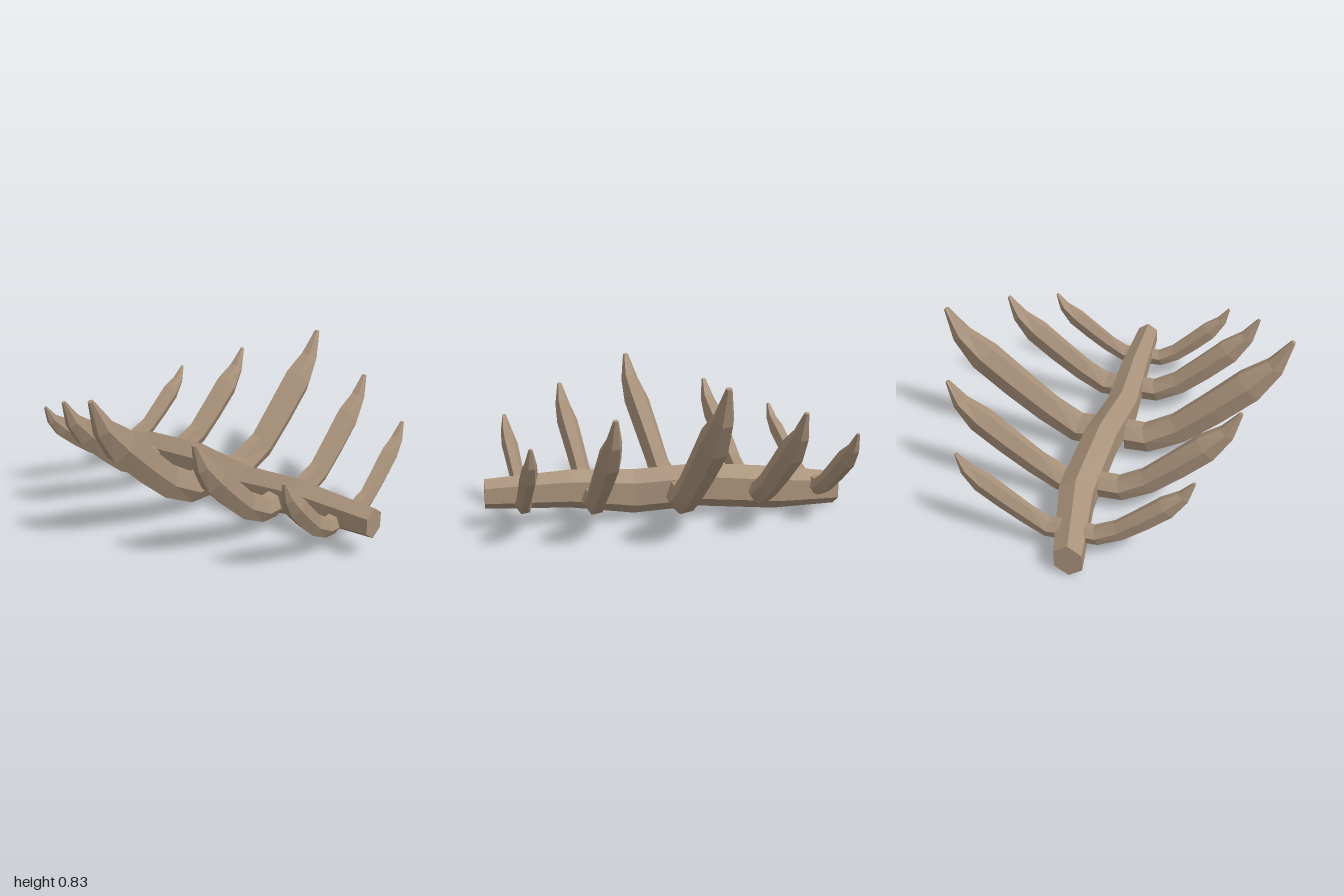
import * as THREE from 'three';

const bone = new THREE.MeshStandardMaterial({ color: 0xa8917a, flatShading: true });
const V = (x, y, z) => new THREE.Vector3(x, y, z);

// Six-sided loft: each section has centre c, tangent t, side axis v and radii ru (across), rv (along v)
function hexLoft(sections, phase) {
  const rings = sections.map(({ c, t, v, ru, rv }) => {
    const u = v.clone().cross(t).normalize();
    return Array.from({ length: 6 }, (_, j) => {
      const a = phase + (j * Math.PI) / 3;
      return c.clone().addScaledVector(u, ru * Math.cos(a)).addScaledVector(v, rv * Math.sin(a));
    });
  });
  const pts = [];
  const last = rings.length - 1;
  for (let j = 0; j < 6; j++) {
    const k = (j + 1) % 6;
    for (let i = 0; i < last; i++) {
      const a = rings[i][j], b = rings[i][k], c = rings[i + 1][k], d = rings[i + 1][j];
      pts.push(a, b, c, a, c, d);
    }
    // end caps
    pts.push(sections[0].c, rings[0][k], rings[0][j]);
    pts.push(sections[last].c, rings[last][j], rings[last][k]);
  }
  const geo = new THREE.BufferGeometry().setFromPoints(pts);
  geo.computeVertexNormals();
  return geo;
}

// Spine stations: z, centre x, centre y, half width, half height
const SPINE = [
  [1, 0.01, 0.19, 0.06, 0.08],
  [0.55, 0.003, 0.19, 0.077, 0.105],
  [0.2, -0.005, 0.153, 0.085, 0.123],
  [-0.17, 0.03, 0.177, 0.09, 0.122],
  [-0.6, 0.045, 0.14, 0.09, 0.122],
  [-1, -0.025, 0.1, 0.07, 0.095],
];

// Rib stations at full size: x, rise, radius across, radius along z, z drift on left, z drift on right
const RIB = [
  [0.09, 0, 0.09, 0.075, 0, 0],
  [0.2, -0.002, 0.088, 0.075, 0, 0],
  [0.375, 0.09, 0.095, 0.064, 0.015, 0.01],
  [0.55, 0.24, 0.1, 0.07, 0.005, 0.03],
  [0.725, 0.4, 0.1, 0.075, -0.005, 0.055],
  [0.845, 0.525, 0.058, 0.052, -0.01, 0.075],
  [0.918, 0.675, 0.013, 0.016, -0.01, 0.085],
];

// Rib pairs: z, size, rise scale, left root x, right root x, left tip x, right tip x
const PAIRS = [
  [0.805, 0.6, 0.555, 0.05, 0.05, 0.56, 0.52],
  [0.44, 0.8, 0.775, 0.065, 0.065, 0.74, 0.725],
  [-0.03, 1, 1, 0.11, 0.085, 0.92, 0.93],
  [-0.48, 0.8, 0.775, 0.115, 0.035, 0.74, 0.735],
  [-0.845, 0.6, 0.555, 0.05, 0.07, 0.56, 0.58],
];

function rib([z, size, lift, rootL, rootR, tipL, tipR], dir) {
  const left = dir > 0;
  const stretch = (left ? tipL : tipR) / 0.92;
  const centres = RIB.map(([x, y, , , dl, dr], i) =>
    V(dir * (i ? x * stretch : left ? rootL : rootR), 0.15 + y * lift, z + (left ? dl : dr) * size));
  const sections = centres.map((c, i) => {
    const t = centres[Math.min(i + 1, RIB.length - 1)].clone().sub(centres[Math.max(i - 1, 0)]);
    t.z = 0;
    return { c, t: t.normalize(), v: V(0, 0, 1), ru: RIB[i][2] * size, rv: RIB[i][3] * size };
  });
  const mesh = new THREE.Mesh(hexLoft(sections, Math.PI / 6 + dir * 0.14), bone);
  mesh.name = left ? 'leftRib' : 'rightRib';
  return mesh;
}

export function createModel() {
  const model = new THREE.Group();
  model.name = 'ribCage';

  // Crooked backbone running front to back
  const spine = new THREE.Mesh(hexLoft(SPINE.map(([z, x, y, w, h]) => (
    { c: V(x, y, z), t: V(0, 0, -1), v: V(1, 0, 0), ru: h, rv: w / 0.866 })), 0), bone);
  spine.name = 'spine';
  model.add(spine);

  // Five pairs of upward-curving ribs
  for (const pair of PAIRS) {
    const group = new THREE.Group();
    group.name = 'ribPair';
    group.add(rib(pair, 1), rib(pair, -1));
    model.add(group);
  }
  return model;
}
